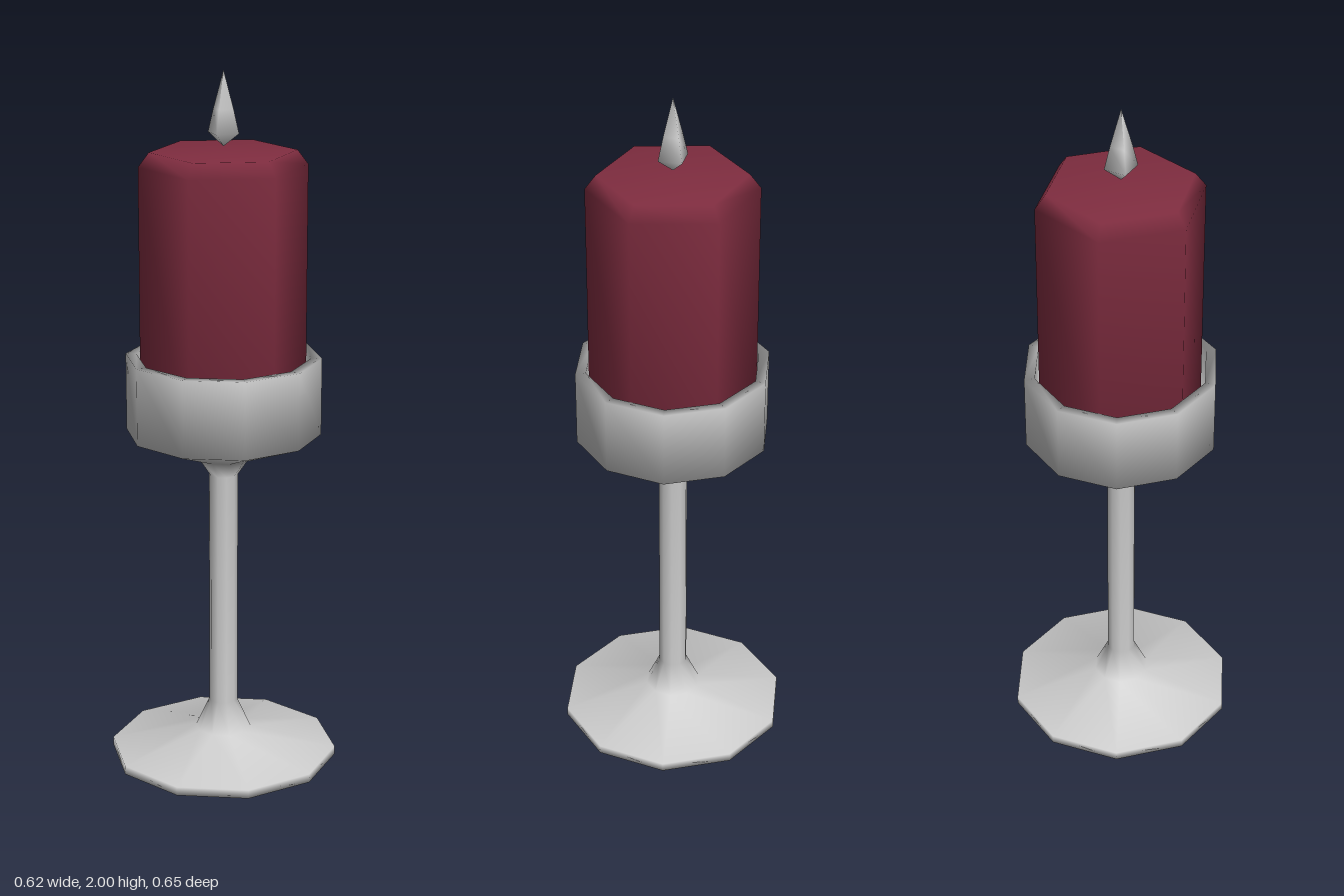
import * as THREE from 'three';

// Low-sided turned part with smooth normals, profile given as [radius, height]
function turned(name, profile, sides, color) {
  const points = profile.map(([r, y]) => new THREE.Vector2(r, y));
  const mesh = new THREE.Mesh(
    new THREE.LatheGeometry(points, sides),
    new THREE.MeshStandardMaterial({ color })
  );
  mesh.name = name;
  return mesh;
}

export function createModel() {
  const group = new THREE.Group();
  group.name = 'candleOnStand';

  // Foot, stem and hollow cup in one profile
  group.add(turned('candleHolder', [
    [0, 0], [0.327, 0.005], [0.327, 0.03],
    [0.08, 0.085], [0.041, 0.17],
    [0.041, 0.86], [0.075, 0.91],
    [0.275, 0.985], [0.275, 1.205],
    [0.245, 1.205], [0.245, 1.01], [0, 0.96],
  ], 10, 0xcccccc));

  // Six-sided wax body with a bevelled top
  group.add(turned('candle', [
    [0, 0.99], [0.233, 0.99], [0.233, 1.74], [0.203, 1.78], [0, 1.78],
  ], 6, 0x802d40));

  // Four-sided flame hovering over the wax
  group.add(turned('flame', [
    [0, 1.793], [0.046, 1.83], [0.03, 1.895], [0, 2],
  ], 4, 0xcccccc));

  return group;
}
